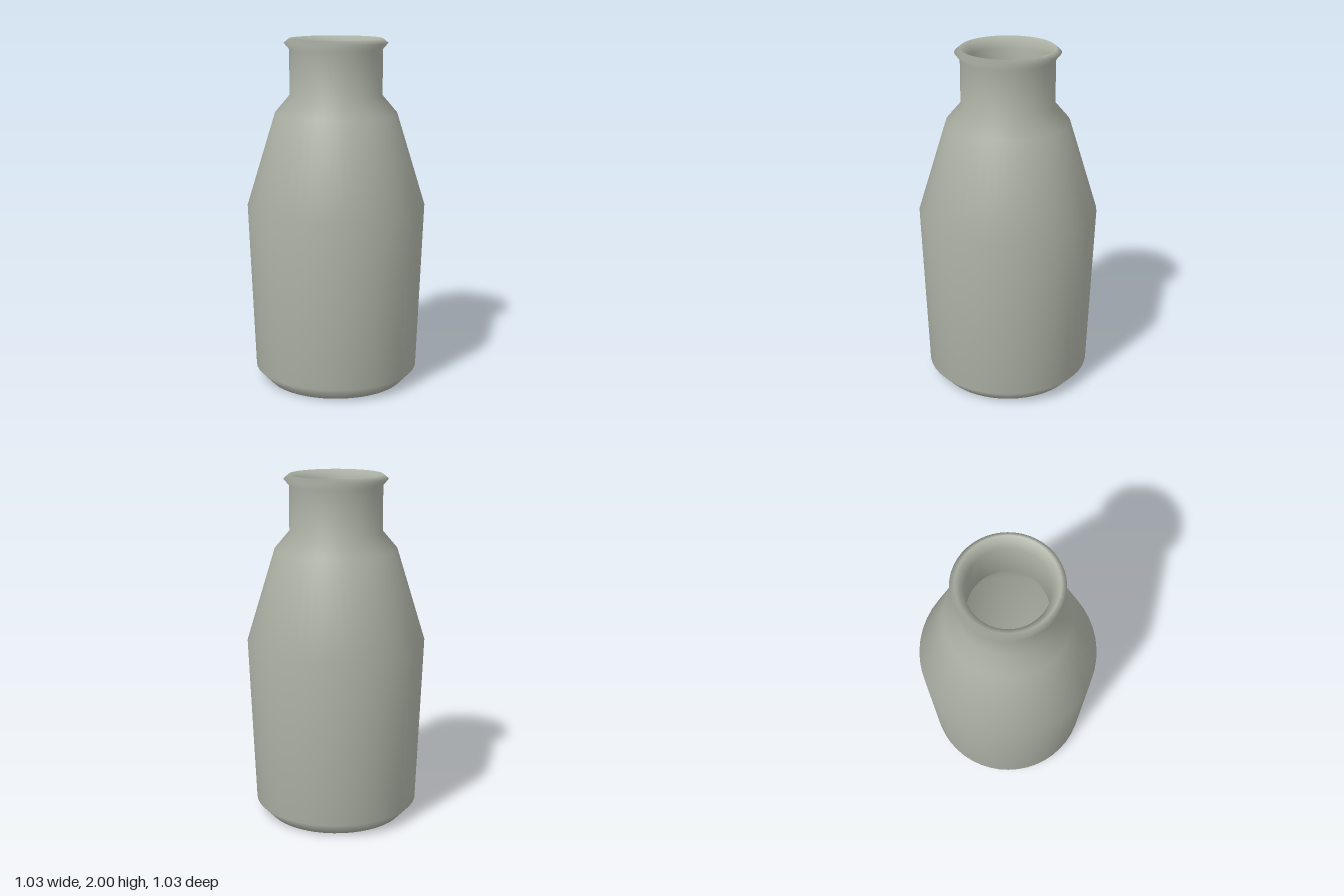
import * as THREE from 'three';

export function createModel() {
  const group = new THREE.Group();
  group.name = 'bottle';
  const glaze = new THREE.MeshStandardMaterial({ color: 0xacb0a4 });
  glaze.name = 'grey green glaze';

  // One closed profile: up the outside, over the lip, down the inside
  const profile = [
    // base and body
    [0, 0], [0.4, 0], [0.475, 0.08], [0.513, 1.05],
    // shoulder and neck
    [0.35, 1.58], [0.265, 1.68], [0.265, 1.94],
    // flared lip
    [0.295, 1.975], [0.265, 2], [0.22, 1.94],
    // inner wall and floor
    [0.22, 1.66], [0.31, 1.56], [0.465, 1.04], [0.43, 0.1], [0.37, 0.05], [0, 0.05],
  ].map(([r, y]) => new THREE.Vector2(r, y));

  const body = new THREE.Mesh(new THREE.LatheGeometry(profile, 48), glaze);
  body.name = 'bottleBody';
  group.add(body);
  return group;
}
